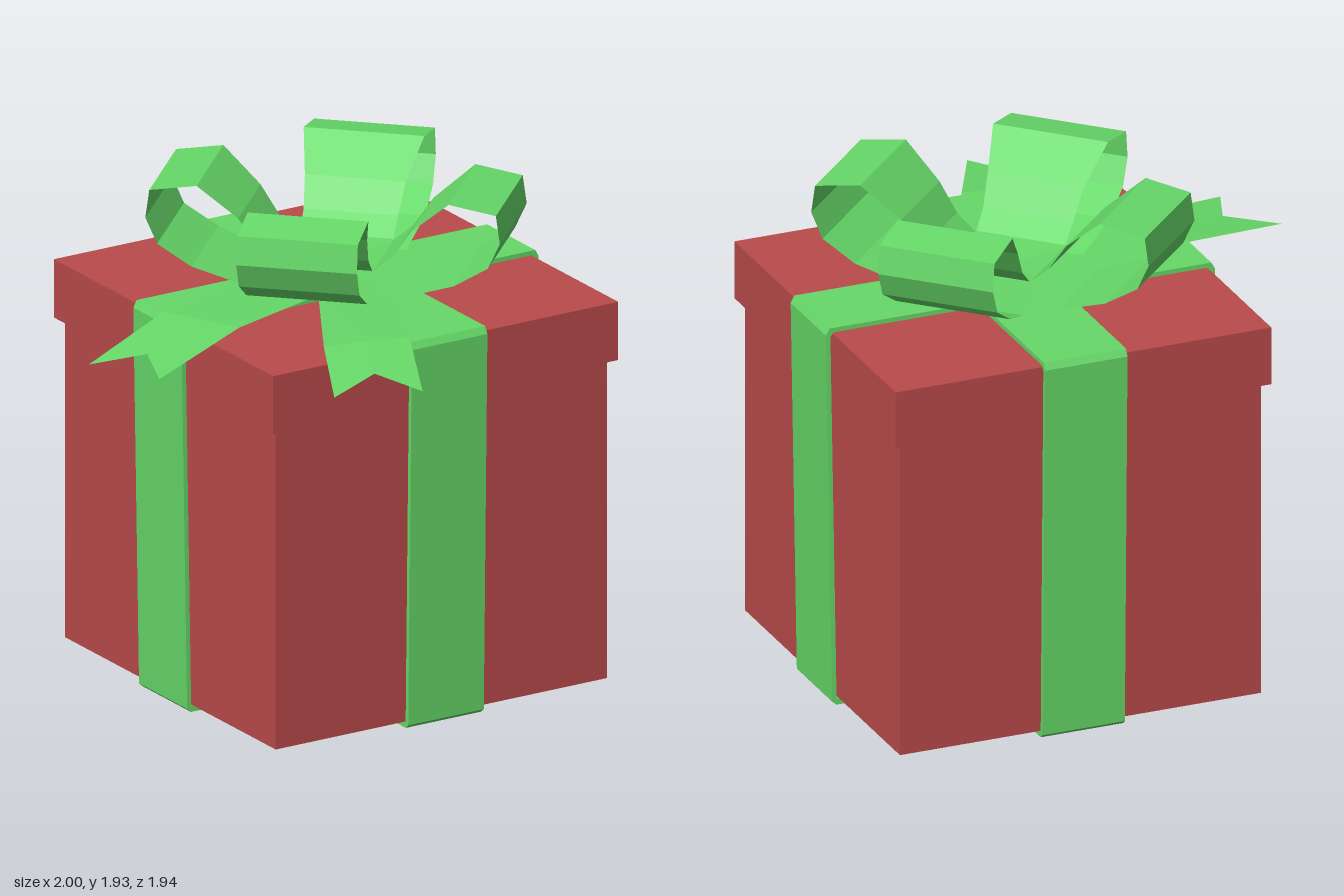
import * as THREE from 'three';

const CX = 0.21, CZ = -0.19; // middle of the box

// Flat-shaded surface lofted through rows of [x, y, z] points
function loft(rows) {
  const pos = [];
  for (let i = 0; i < rows.length - 1; i++) {
    for (let j = 0; j < rows[i].length - 1; j++) {
      const a = rows[i][j], b = rows[i][j + 1], c = rows[i + 1][j + 1], d = rows[i + 1][j];
      pos.push(...a, ...b, ...c, ...a, ...c, ...d);
    }
  }
  const geo = new THREE.BufferGeometry();
  geo.setAttribute('position', new THREE.Float32BufferAttribute(pos, 3));
  geo.computeVertexNormals();
  return geo;
}

export function createModel() {
  const model = new THREE.Group();
  model.name = 'giftBox';
  const red = new THREE.MeshStandardMaterial({ color: 0xba4a4a, flatShading: true });
  red.name = 'red paper';
  const green = new THREE.MeshStandardMaterial({ color: 0x66d868, flatShading: true, side: THREE.DoubleSide });
  green.name = 'green ribbon';

  const add = (name, geo, mat, parent = model) => {
    const mesh = new THREE.Mesh(geo, mat);
    mesh.name = name;
    parent.add(mesh);
    return mesh;
  };

  // Box and overhanging lid
  add('boxBody', new THREE.BoxGeometry(1.46, 1.27, 1.46), red).position.set(CX, 0.655, CZ);
  add('lid', new THREE.BoxGeometry(1.52, 0.23, 1.52), red).position.set(CX, 1.395, CZ);

  // Ribbon bands: slightly tapered thin loops with chamfered corners
  const ring = (inset) => {
    const t = inset, right = [
      [0.745 - t, t], [0.762 - t, 0.015 + t * 0.5], [0.787 - t, 1.505 - t * 0.5], [0.772 - t, 1.532 - t],
    ];
    const left = right.map(([x, y]) => [-x, y]).reverse();
    return [...right, ...left].map(([x, y]) => new THREE.Vector2(x, y));
  };
  const bandShape = new THREE.Shape(ring(0));
  bandShape.holes.push(new THREE.Path(ring(0.018)));
  const bandGeo = new THREE.ExtrudeGeometry(bandShape, { depth: 0.333, bevelEnabled: false });
  bandGeo.translate(0, 0, -0.1665);
  ['bandAcross', 'bandFrontToBack'].forEach((name, i) => {
    const band = add(name, bandGeo, green);
    band.position.set(CX, i * 0.001, CZ);
    band.rotation.y = i * Math.PI / 2;
  });

  // Bow: four loops on the diagonals; profile is [radius, height, half width]
  const profile = [
    [0, 1.535, 0.17], [0.3, 1.54, 0.2], [0.5, 1.61, 0.23], [0.63, 1.69, 0.23],
    [0.675, 1.79, 0.23], [0.66, 1.9, 0.23], [0.48, 1.93, 0.23], [0.33, 1.8, 0.192],
    [0.255, 1.69, 0.18], [0.18, 1.625, 0.178], [0, 1.61, 0.178],
  ];
  const loopGeo = loft(profile.map(([r, y, w]) => [[r, y, -w], [r, y, w]]));
  const bow = new THREE.Group();
  bow.name = 'bow';
  bow.position.set(CX, 0, CZ);
  model.add(bow);
  for (let i = 0; i < 4; i++) {
    const loop = add('bowLoop' + (i + 1), loopGeo, green, bow);
    loop.rotation.y = Math.PI / 4 + i * Math.PI / 2;
    loop.position.y = (i % 2) * -0.003; // one pair lies under the other
  }

  // Ribbon tails with forked ends
  const tails = {
    rightTail: [
      [[0.0, 1.537, -0.36], [0.05, 1.537, -0.2], [0.1, 1.537, -0.05]],
      [[-0.56, 1.543, -0.17], [-0.49, 1.543, -0.02], [-0.42, 1.543, 0.13]],
      [[-1.0, 1.47, 0.0], [-0.8, 1.5, 0.09], [-0.88, 1.48, 0.3]],
    ],
    frontTail: [
      [[0.03, 1.537, -0.03], [0.15, 1.537, 0.05], [0.28, 1.537, 0.12]],
      [[-0.27, 1.545, 0.48], [-0.11, 1.55, 0.525], [0.05, 1.55, 0.57]],
      [[-0.44, 1.48, 0.82], [-0.225, 1.515, 0.76], [-0.14, 1.49, 0.96]],
    ],
  };
  for (const [name, rows] of Object.entries(tails)) add(name, loft(rows), green);

  return model;
}
